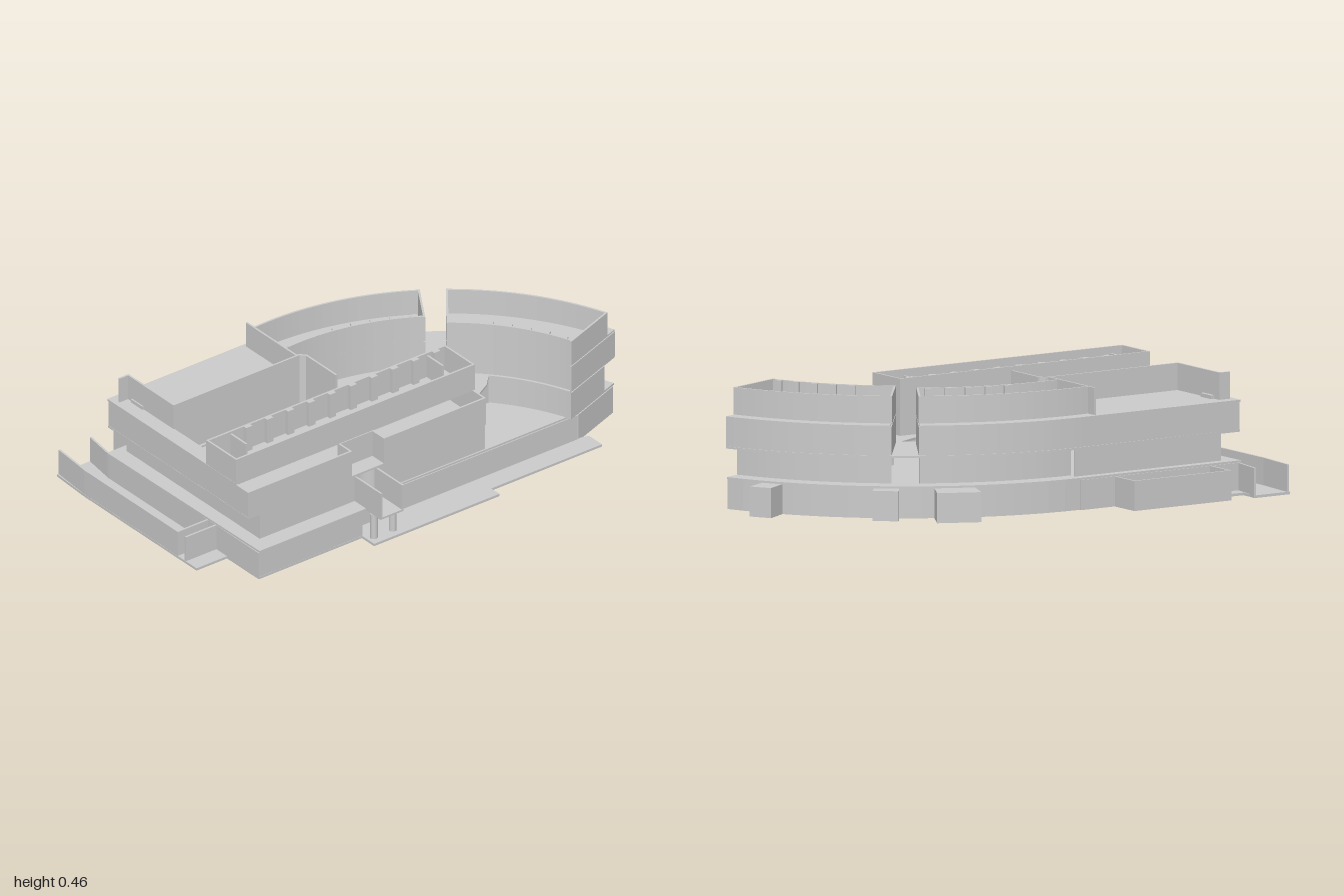
import * as THREE from 'three';

const T = 0.008;                       // wall thickness
const C = [-0.13, 0.725];              // centre of the curved wing in plan
const mat = new THREE.MeshStandardMaterial({ color: 0xcccccc, flatShading: true, side: THREE.DoubleSide });

// Plan point on the curved wing (degrees, -90 points to the back)
const polar = (r, deg) => {
  const a = deg * Math.PI / 180;
  return [C[0] + r * Math.cos(a), C[1] + r * Math.sin(a)];
};
const arc = (r, a0, a1, n = 20) =>
  Array.from({ length: n + 1 }, (_, i) => polar(r, a0 + (a1 - a0) * i / n));
const rect = (x0, z0, x1, z1) => [[x0, z0], [x1, z0], [x1, z1], [x0, z1]];

export function createModel() {
  const model = new THREE.Group();

  const add = (parent, name, geo) => {
    const m = new THREE.Mesh(geo, mat);
    m.name = name;
    parent.add(m);
    return m;
  };
  // Flat plate from a plan outline [x, z], rising from y by h
  const plate = (parent, name, pts, y, h, holes = []) => {
    const v = (p) => p.map(([x, z]) => new THREE.Vector2(x, -z));
    const s = new THREE.Shape(v(pts));
    s.holes = holes.map((p) => new THREE.Path(v(p)));
    const g = new THREE.ExtrudeGeometry(s, { depth: h, bevelEnabled: false });
    g.rotateX(-Math.PI / 2).translate(0, y, 0);
    return add(parent, name, g);
  };
  // Upright walls along a plan polyline
  const walls = (parent, name, pts, y0, y1) => {
    for (let i = 0; i + 1 < pts.length; i++) {
      const [[x0, z0], [x1, z1]] = [pts[i], pts[i + 1]];
      const g = new THREE.BoxGeometry(Math.hypot(x1 - x0, z1 - z0) + T, y1 - y0, T);
      g.rotateY(-Math.atan2(z1 - z0, x1 - x0));
      g.translate((x0 + x1) / 2, (y0 + y1) / 2, (z0 + z1) / 2);
      add(parent, name, g);
    }
  };
  const ring = (parent, name, r0, r1, a0, a1, y, h) =>
    plate(parent, name, [...arc(r0, a0, a1), ...arc(r1, a1, a0)], y, h);
  const level = (name) => {
    const g = new THREE.Group();
    g.name = name;
    model.add(g);
    return g;
  };
  // Piers along the inner curve
  const piers = (parent, r, a0, a1, n, y0, y1) => {
    for (let i = 0; i < n; i++) {
      const a = a0 + (a1 - a0) * (i + 0.5) / n;
      ring(parent, 'curvedPier', r, r + 0.022, a - 0.8, a + 0.8, y0, y1 - y0);
    }
  };
  const END = -19.8, GAP0 = -58, GAP1 = -52.5;

  // ---- Ground level ----
  const ground = level('groundLevel');
  plate(ground, 'groundSlab', [
    [-0.99, -0.58], [-0.83, -0.58], [-0.83, -0.5], [-0.72, -0.5], [-0.72, -0.575], [-0.28, -0.575],
    [-0.28, -0.44], ...arc(1.16, -90, END), [0.73, 0.42], [0.77, 0.43], [0.77, 0.51], [0.24, 0.51],
    [0.24, 0.56], [-0.36, 0.56], [-0.36, 0.485], [-0.85, 0.485], [-0.85, 0.29], [-1, 0.29], [-1, -0.4],
  ], 0, 0.01);
  walls(ground, 'groundFrontWall', [[-0.85, -0.44], [-0.85, 0.48], [-0.36, 0.48], [-0.36, 0.42], [0.72, 0.42]], 0, 0.115);
  walls(ground, 'groundWingEnd', [[0.72, 0.42], polar(1.15, END)], 0, 0.115);
  walls(ground, 'groundBackWall', [[-0.85, -0.44], [-0.13, -0.44]], 0, 0.115);
  ring(ground, 'groundCurvedWall', 1.152, 1.16, -90, END, 0, 0.115);
  walls(ground, 'backAnnex', [[-0.72, -0.44], [-0.72, -0.571], [-0.284, -0.571], [-0.284, -0.44]], 0, 0.115);
  // Side yard, open at the back
  walls(ground, 'sideYardWall', [[-0.98, -0.575], [-0.995, -0.4], [-0.995, 0.17], [-0.85, 0.17]], 0, 0.115);
  walls(ground, 'sideYardWall', [[-0.83, -0.575], [-0.85, -0.44]], 0, 0.115);
  walls(ground, 'sideYardEnd', [[-0.995, 0.22], [-0.85, 0.22]], 0, 0.115);
  // Stair blocks standing out from the curve: angle, outer radius, width
  for (const [a, r, w] of [[-64.5, 1.28, 0.17], [-51.8, 1.23, 0.1], [-29.6, 1.265, 0.09]]) {
    const d = w / 2 / r * 180 / Math.PI;
    plate(ground, 'stairBlock', [polar(1.13, a - d), polar(r, a - d), polar(r, a + d), polar(1.13, a + d)], 0, 0.115);
  }
  for (const x of [-0.33, -0.24])
    add(ground, 'porchColumn', new THREE.CylinderGeometry(0.015, 0.015, 0.115, 16)).position.set(x, 0.0575, 0.52);

  // ---- First level, set back ----
  const first = level('firstLevel');
  plate(first, 'firstFloor', [[-0.86, -0.44], ...arc(1.165, -90, END), [0.72, 0.42],
    [-0.23, 0.42], [-0.23, 0.575], [-0.34, 0.575], [-0.34, 0.485], [-0.85, 0.485]], 0.115, 0.008);
  walls(first, 'firstWall', [[-0.13, -0.4], [-0.79, -0.4], [-0.79, 0.41], [-0.34, 0.41]], 0.12, 0.235);
  walls(first, 'firstWall', [[-0.23, 0.41], [0.28, 0.41], [0.29, 0.21], [0.37, 0.21], [0.46, 0.15], [0.5, 0.15]], 0.12, 0.235);
  ring(first, 'firstCurvedWall', 1.087, 1.095, -90, GAP0, 0.12, 0.115);
  ring(first, 'firstCurvedWall', 1.087, 1.095, GAP1, END, 0.12, 0.115);
  ring(first, 'firstInnerCurve', 0.855, 0.863, -42, END, 0.12, 0.115);
  walls(first, 'firstWingEnd', [polar(0.86, END), polar(1.09, END)], 0.12, 0.235);
  // Entrance porch with a rounded niche
  for (const x of [-0.336, -0.234]) walls(first, 'porchWall', [[x, 0.41], [x, 0.571]], 0.12, 0.23);
  const niche = new THREE.CylinderGeometry(0.05, 0.05, 0.113, 20, 1, true, Math.PI / 2, Math.PI);
  add(first, 'porchNiche', niche).position.set(-0.285, 0.178, 0.42);

  // ---- Second level, with the inner court ----
  const second = level('secondLevel');
  const circle = Array.from({ length: 28 }, (_, i) =>
    [-0.28 + 0.045 * Math.cos(i * Math.PI / 14), -0.015 + 0.045 * Math.sin(i * Math.PI / 14)]);
  const leafCurve = new THREE.QuadraticBezierCurve(
    new THREE.Vector2(0.05, -0.11), new THREE.Vector2(0.23, -0.07), new THREE.Vector2(0.36, 0.05));
  const leaf = [[-0.11, 0.08], [-0.11, -0.09], [-0.085, -0.115],
    ...leafCurve.getPoints(10).map((p) => [p.x, p.y]), [0.26, 0.1], [-0.09, 0.1]];
  plate(second, 'secondFloor', [[-0.855, -0.44], ...arc(1.17, -90, END), ...arc(0.855, END, -42, 12),
    [0.46, 0.2], [0.37, 0.25], [0.29, 0.25], [0.285, 0.42], [-0.855, 0.42]], 0.233, 0.008,
  [circle, leaf, rect(-0.72, -0.105, -0.36, -0.065), rect(-0.72, 0.035, -0.36, 0.08)]);
  walls(second, 'secondOuterWall', [[-0.13, -0.436], [-0.85, -0.436], [-0.85, 0.416], [-0.36, 0.416],
    [-0.36, 0.345], [-0.2, 0.345], [-0.2, 0.416], [0.28, 0.416], [0.285, 0.165]], 0.24, 0.35);
  walls(second, 'courtWall', [[0.285, 0.165], [-0.79, 0.165]], 0.24, 0.35);
  walls(second, 'courtWall', [[-0.79, 0.1], [-0.19, 0.1], [-0.17, 0.08], [-0.17, -0.1], [-0.19, -0.12],
    [-0.79, -0.12], [-0.79, 0.1]], 0.24, 0.35);

  // ---- Third level, open to the sky ----
  const third = level('thirdLevel');
  plate(third, 'thirdBackFloor', [[-0.855, -0.445], [-0.13, -0.445], [-0.13, -0.19], [-0.2, -0.12], [-0.79, -0.12],
    [-0.79, 0.1], [-0.17, 0.1], [-0.17, 0.165], [0.29, 0.165], [0.29, 0.345], [-0.855, 0.345]], 0.348, 0.008);
  walls(third, 'frontRoom', [[-0.85, 0.165], [-0.85, 0.341], [0.286, 0.341], [0.286, 0.165], [-0.85, 0.165]], 0.35, 0.46);
  walls(third, 'terraceWall', [[-0.83, -0.4], [-0.79, -0.4], [-0.79, -0.12], [-0.19, -0.12], [-0.17, -0.1], [-0.17, 0.08]], 0.35, 0.46);
  plate(third, 'terraceShaft', rect(-0.8, -0.37, -0.77, -0.3), 0.35, 0.02);
  walls(third, 'curvedRoomEnd', [[-0.2, -0.425], [-0.2, -0.12]], 0.35, 0.46);

  // Piers and cross walls along the front room
  for (let i = 0; i < 10; i++) {
    const x = -0.68 + i * 0.1;
    for (const y of [0.24, 0.355]) plate(third, 'frontPier', rect(x, 0.165, x + 0.03, 0.185), y, 0.105);
  }
  for (const x of [-0.74, 0.2]) walls(third, 'frontPartition', [[x, 0.165], [x, 0.26]], 0.355, 0.45);

  // Two curved wings with a gap between them, on the upper two levels
  for (const [a0, a1, ri] of [[-93.5, GAP0, 0.915], [GAP1, END, 0.865]]) {
    const s0 = Math.max(a0, -90);
    ring(third, 'thirdCurvedFloor', ri, 1.17, s0, a1, 0.348, 0.008);
    ring(second, 'secondCurvedWall', 1.158, 1.166, s0, a1, 0.24, 0.11);
    ring(second, 'secondInnerCurve', ri, ri + T, a0, a1, 0.24, 0.11);
    ring(third, 'thirdCurvedWall', 1.107, 1.115, a0, a1, 0.355, 0.105);
    ring(third, 'thirdInnerCurve', ri, ri + T, a0, a1, 0.355, 0.105);
    walls(second, 'secondWingEnd', [polar(ri, a1), polar(1.162, a1)], 0.24, 0.35);
    walls(third, 'thirdWingEnd', [polar(ri, a1), polar(1.111, a1)], 0.355, 0.46);
    if (a0 > -90) {
      walls(second, 'secondWingStart', [polar(ri, a0), polar(1.162, a0)], 0.24, 0.35);
      walls(third, 'thirdWingStart', [polar(ri, a0), polar(1.111, a0)], 0.355, 0.46);
    }
    piers(second, ri, s0 + 8, a1, 5, 0.24, 0.348);
    piers(third, ri, s0 + 8, a1, 5, 0.355, 0.46);
  }
  return model;
}
